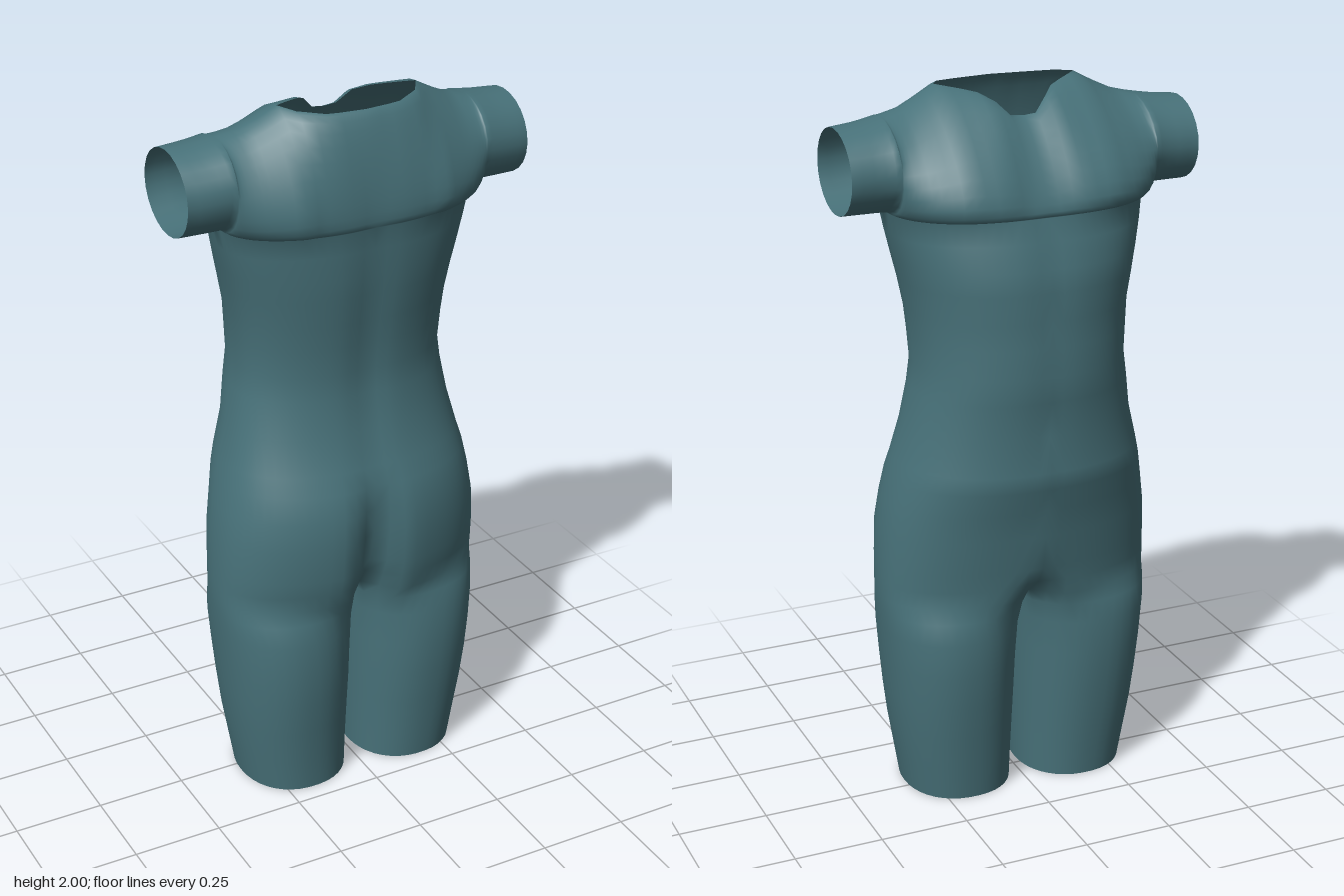
import * as THREE from 'three';
import { mergeVertices } from 'three/addons/utils/BufferGeometryUtils.js';

const K = 16;      // columns per quarter of the torso
const INNER = 10;  // columns across the inner thigh
const V = 12;      // steps from armpit level to the shoulder ridge

// height, half width, side z, back z, front z, groove at back centre, tuck at front centre
const TORSO = [
  [0.60, 0.392, 0.025, 0.242, -0.190, 0.10, 0.08],
  [0.65, 0.392, 0.025, 0.252, -0.194, 0.08, 0.02],
  [0.70, 0.390, 0.025, 0.264, -0.202, 0.065, -0.003],
  [0.80, 0.385, 0.025, 0.271, -0.218, 0.05, -0.004],
  [0.88, 0.372, 0.02, 0.266, -0.232, 0.035, 0],
  [0.95, 0.358, 0.015, 0.250, -0.253, 0.015, 0],
  [1.00, 0.345, 0.01, 0.226, -0.260, 0.008, 0],
  [1.10, 0.320, 0.0, 0.198, -0.247, 0.01, 0.004],
  [1.20, 0.302, -0.01, 0.184, -0.265, 0.012, 0.004],
  [1.27, 0.292, -0.01, 0.183, -0.266, 0.012, 0.004],
  [1.35, 0.297, -0.005, 0.190, -0.266, 0.012, 0.004],
  [1.42, 0.303, 0.0, 0.200, -0.261, 0.012, 0.004],
  [1.50, 0.318, 0.005, 0.212, -0.267, 0.012, 0.006],
  [1.56, 0.332, 0.01, 0.219, -0.259, 0.01, 0.008],
  [1.63, 0.348, 0.015, 0.224, -0.242, 0.008, 0.006],
  [1.69, 0.360, 0.02, 0.227, -0.222, 0.006, 0.003],
];
// as above, then blend from the joined hip shape to a separate leg, and inner x
const LEGS = [
  [0.00, 0.325, 0.033, 0.200, -0.135, 0, 0, 1, 0.02],
  [0.10, 0.341, 0.032, 0.210, -0.148, 0, 0, 1, 0.018],
  [0.20, 0.357, 0.030, 0.222, -0.162, 0, 0, 1, 0.015],
  [0.30, 0.368, 0.028, 0.234, -0.175, 0, 0, 1, 0.012],
  [0.40, 0.377, 0.028, 0.240, -0.185, 0, 0, 1, 0.009],
  [0.50, 0.386, 0.026, 0.240, -0.190, 0.1, 0.08, 0.9, 0.006],
  [0.56, 0.390, 0.025, 0.238, -0.190, 0.1, 0.08, 0.55, 0.004],
  [...TORSO[0], 0, 0].flat(),
];

// Upper body curves, keyed by x
const NECK_FRONT = [[0, 1.925, -0.065], [0.05, 1.93, -0.065], [0.075, 1.972, -0.04], [0.11, 1.985, 0],
  [0.15, 1.992, 0.025], [0.2, 2, 0.06]];
const NECK_BACK = [[0, 1.988, 0.16], [0.1, 1.988, 0.15], [0.17, 1.995, 0.11], [0.2, 2, 0.06]];
const SHOULDER = [[0.25, 1.973, 0.055], [0.3, 1.95, 0.045], [0.36, 1.936, 0.035], [0.42, 1.926, 0.025], [0.49, 1.92, 0.02]];
const MID_FRONT = [[0, -0.178], [0.1, -0.182], [0.2, -0.17], [0.28, -0.155], [0.34, -0.136], [0.4, -0.12], [0.49, -0.113]];
const MID_BACK = [[0, 0.215], [0.1, 0.218], [0.2, 0.206], [0.3, 0.182], [0.36, 0.166], [0.49, 0.15]];

// Linear lookup in a keyed table
function lookup(table, x, col) {
  let i = 1;
  while (i < table.length - 1 && table[i][0] < x) i++;
  const a = table[i - 1], b = table[i];
  const t = THREE.MathUtils.clamp((x - a[0]) / (b[0] - a[0]), 0, 1);
  return a[col] + (b[col] - a[col]) * t;
}

// Half of a torso section: back centre, round the side, to front centre
function halfSection([y, w, zc, zb, zf, groove, tuck]) {
  const n = 2.3, pts = [];
  for (let k = 0; k <= 2 * K; k++) {
    const q = k <= K ? k : 2 * K - k;
    const s = q === 0 ? 0 : Math.sin((Math.PI / 2) * q / K);
    const c = q === K ? 0 : Math.pow(Math.max(0, 1 - Math.pow(s, n)), 1 / n);
    const x = w * s, fade = q === K ? 0 : Math.exp(-((x / 0.05) ** 2));
    const z = k <= K ? zc + (zb - zc) * c - groove * fade : zc + (zf - zc) * c + tuck * fade;
    pts.push([x, y, z]);
  }
  return pts;
}

// Closed leg section, blending from half a hip to a rounded thigh
function legSection(row) {
  const [y, w, , zb, zf, , , blend, xi] = row;
  const hip = halfSection(row), first = hip[0], last = hip[2 * K];
  for (let j = 1; j <= INNER; j++) {
    hip.push([0, y, last[2] + (first[2] - last[2]) * j / INNER]);
  }
  const A = Math.PI / 3, cx = (w + xi) / 2, rx = (w - xi) / 2, cz = (zb + zf) / 2, rz = (zb - zf) / 2;
  const soft = (v) => Math.sign(v) * Math.pow(Math.abs(v), 2 / 2.2);
  return hip.map(([x, , z], k) => {
    const a = k <= 2 * K
      ? -A + (Math.PI + 2 * A) * k / (2 * K)
      : Math.PI + A + (Math.PI - 2 * A) * (k - 2 * K) / INNER;
    const lx = cx + rx * soft(Math.sin(a)), lz = cz + rz * soft(Math.cos(a));
    return [x + (lx - x) * blend, y, z + (lz - z) * blend];
  });
}

// Chest or upper back running out into the sleeve: rows rise from armpit to neck and shoulder
function upperRows(base, neck, mid) {
  const ridge = [...neck, ...SHOULDER];
  const feet = [...base, ...[0.375, 0.4, 0.43, 0.46, 0.49].map((x) => [x, 1.692, 0.02])];
  const rows = [];
  for (let v = 0; v <= V; v++) {
    const t = v / V, s = (1 - Math.cos(Math.PI * t)) / 2;
    const arc = v === 0 || v === V ? 0 : Math.sin(Math.PI * t);
    rows.push(feet.map(([x, y, z]) => {
      const ty = lookup(ridge, x, 1), tz = lookup(ridge, x, 2);
      const bulge = lookup(mid, x, 1) - (z + tz) / 2;
      return [x, y + (ty - y) * s, z + (tz - z) * s + bulge * arc];
    }));
  }
  return rows;
}

export function createModel() {
  const positions = [];
  // Skin a grid of rows together with its mirror image
  const skin = (rows) => {
    const tri = (a, b, c) => {
      positions.push(...a, ...b, ...c);
      for (const p of [a, c, b]) positions.push(-p[0], p[1], p[2]);
    };
    for (let r = 0; r < rows.length - 1; r++) {
      for (let k = 0; k < rows[r].length - 1; k++) {
        const a = rows[r][k], b = rows[r][k + 1], c = rows[r + 1][k + 1], d = rows[r + 1][k];
        tri(a, b, c);
        tri(a, c, d);
      }
    }
  };

  // Legs and torso
  skin(LEGS.map(legSection));
  const torso = TORSO.map(halfSection);
  skin(torso);

  // Shoulders and sleeves
  const top = torso[torso.length - 1];
  skin(upperRows(top.slice(0, K + 1), NECK_BACK, MID_BACK));
  const front = upperRows(top.slice(K).reverse(), NECK_FRONT, MID_FRONT);
  skin(front.map((row) => row.reverse()));

  // Weld into one smooth open garment
  let geometry = new THREE.BufferGeometry();
  geometry.setAttribute('position', new THREE.Float32BufferAttribute(positions, 3));
  geometry = mergeVertices(geometry, 1e-4);
  geometry.computeVertexNormals();

  const fabric = new THREE.MeshStandardMaterial({ color: 0x48727a, side: THREE.DoubleSide });
  fabric.name = 'teal fabric';
  const suit = new THREE.Mesh(geometry, fabric);
  suit.name = 'bodysuit';

  const group = new THREE.Group();
  group.name = 'short bodysuit';
  group.add(suit);
  return group;
}
